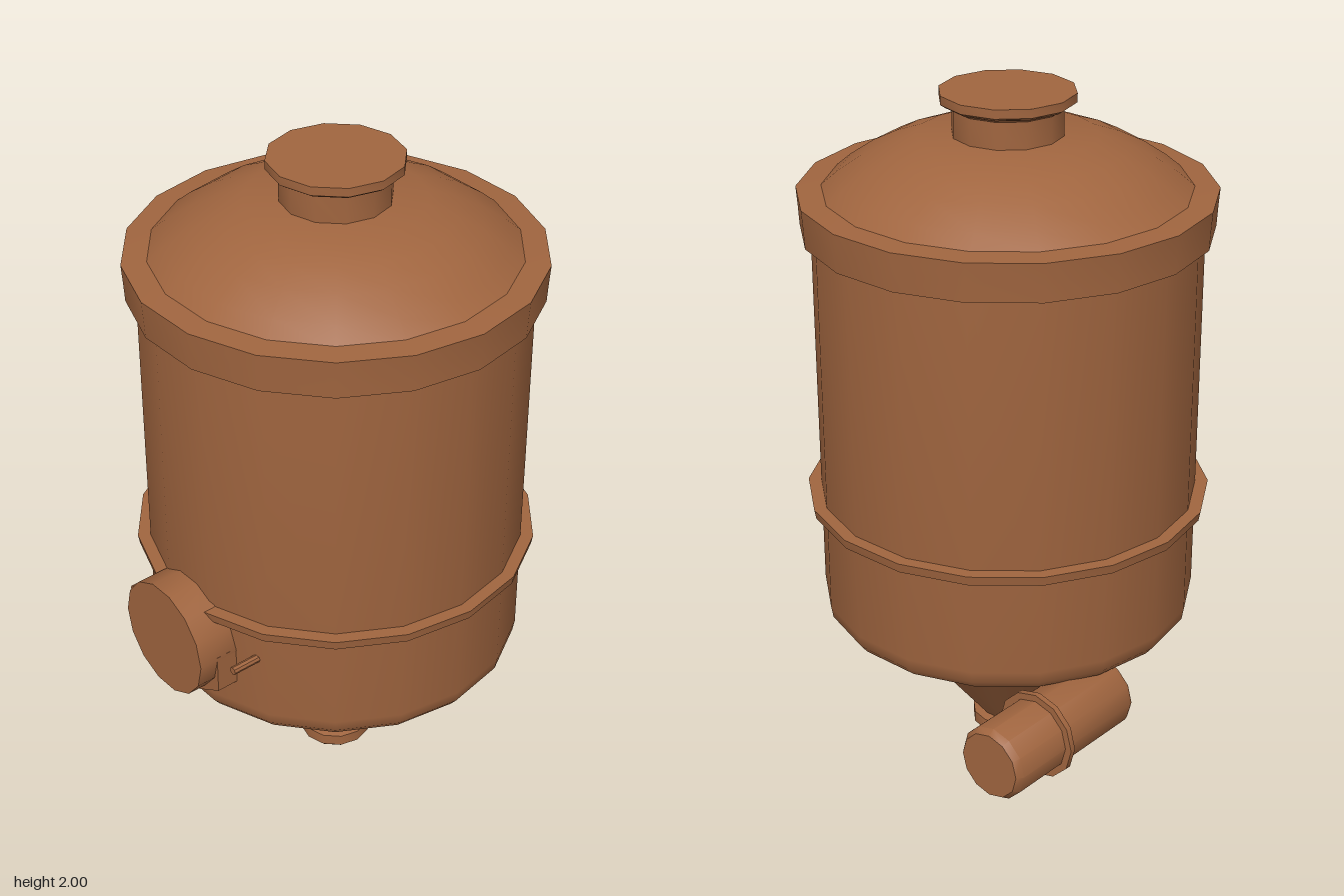
import * as THREE from 'three';
import { toCreasedNormals } from 'three/addons/utils/BufferGeometryUtils.js';

export function createModel() {
  const group = new THREE.Group();
  const rust = new THREE.MeshStandardMaterial({ color: 0xa0653f });
  rust.name = 'rust brown';

  const add = (name, geometry, x, y, z) => {
    const mesh = new THREE.Mesh(toCreasedNormals(geometry, 0.7), rust);
    mesh.name = name;
    mesh.position.set(x, y, z);
    group.add(mesh);
    return mesh;
  };

  // Turned part from [radius, height] pairs, bottom to top, with a corner on +x
  const turned = (profile, sides) => new THREE.LatheGeometry(
    profile.map(([r, h]) => new THREE.Vector2(r, h)), sides, Math.PI / 2);

  const CX = -0.003, CZ = -0.018;
  const onAxis = (name, profile, sides) => add(name, turned(profile, sides), CX, 0, CZ);

  // Tank body and its flanges
  onAxis('tank', [[0, 0.44], [0.52, 0.44], [0.54, 0.465], [0.546, 0.5], [0.546, 1.66], [0, 1.66]], 18);
  onAxis('middleFlange', [[0.53, 0.797], [0.578, 0.797], [0.583, 0.825], [0.53, 0.825]], 18);
  onAxis('lidBand', [[0.53, 1.615], [0.575, 1.615], [0.578, 1.67], [0.582, 1.725], [0.5, 1.73]], 18);

  // Domed lid with neck and cap
  onAxis('lid', [[0.517, 1.725], [0.47, 1.765], [0.4, 1.813], [0.33, 1.848], [0.25, 1.877], [0, 1.882]], 18);
  onAxis('neck', [[0.155, 1.86], [0.155, 1.955], [0.172, 1.967]], 12);
  onAxis('cap', [[0, 1.965], [0.175, 1.965], [0.19, 1.975], [0.19, 2], [0, 2]], 12);

  // Hopper below the tank
  onAxis('hopperCollar', [[0, 0.365], [0.366, 0.365], [0.366, 0.445]], 18);
  onAxis('hopper', [[0.08, 0.045], [0.335, 0.37]], 18);
  onAxis('outlet', [[0, 0.005], [0.1, 0], [0.108, 0.008], [0.108, 0.043], [0.085, 0.05], [0, 0.05]], 12);

  // Round hatch on the front
  add('hatch', turned([[0, 0], [0.174, 0], [0.174, 0.125], [0, 0.125]], 14), CX, 0.694, 0.49)
    .rotation.x = Math.PI / 2;

  // Angled bracket behind the hatch
  const bracket = new THREE.Shape([[0, 0.48], [0.17, 0.58], [0.17, 0.7], [-0.05, 0.7], [-0.02, 0.53]]
    .map(([x, y]) => new THREE.Vector2(x, y)));
  add('hatchBracket', new THREE.ExtrudeGeometry(bracket, { depth: 0.07, bevelEnabled: false }), 0, 0, 0.487);

  // Studs either side of the hatch
  for (const side of [-1, 1]) {
    add('stud', new THREE.CylinderGeometry(0.012, 0.012, 0.1, 8), CX + side * 0.236, 0.692, 0.502)
      .rotation.x = Math.PI / 2;
  }

  // Motor running to the back under the tank
  const motor = (name, profile) => {
    add(name, turned(profile, 12), -0.448, 0.336, 0).rotation.x = -Math.PI / 2;
  };
  motor('motor', [[0, 0.12], [0.104, 0.12], [0.108, 0.135], [0.108, 0.595], [0.095, 0.614], [0, 0.614]]);
  motor('motorFlange', [[0.1, 0.403], [0.128, 0.403], [0.128, 0.42], [0.1, 0.42]]);

  return group;
}
